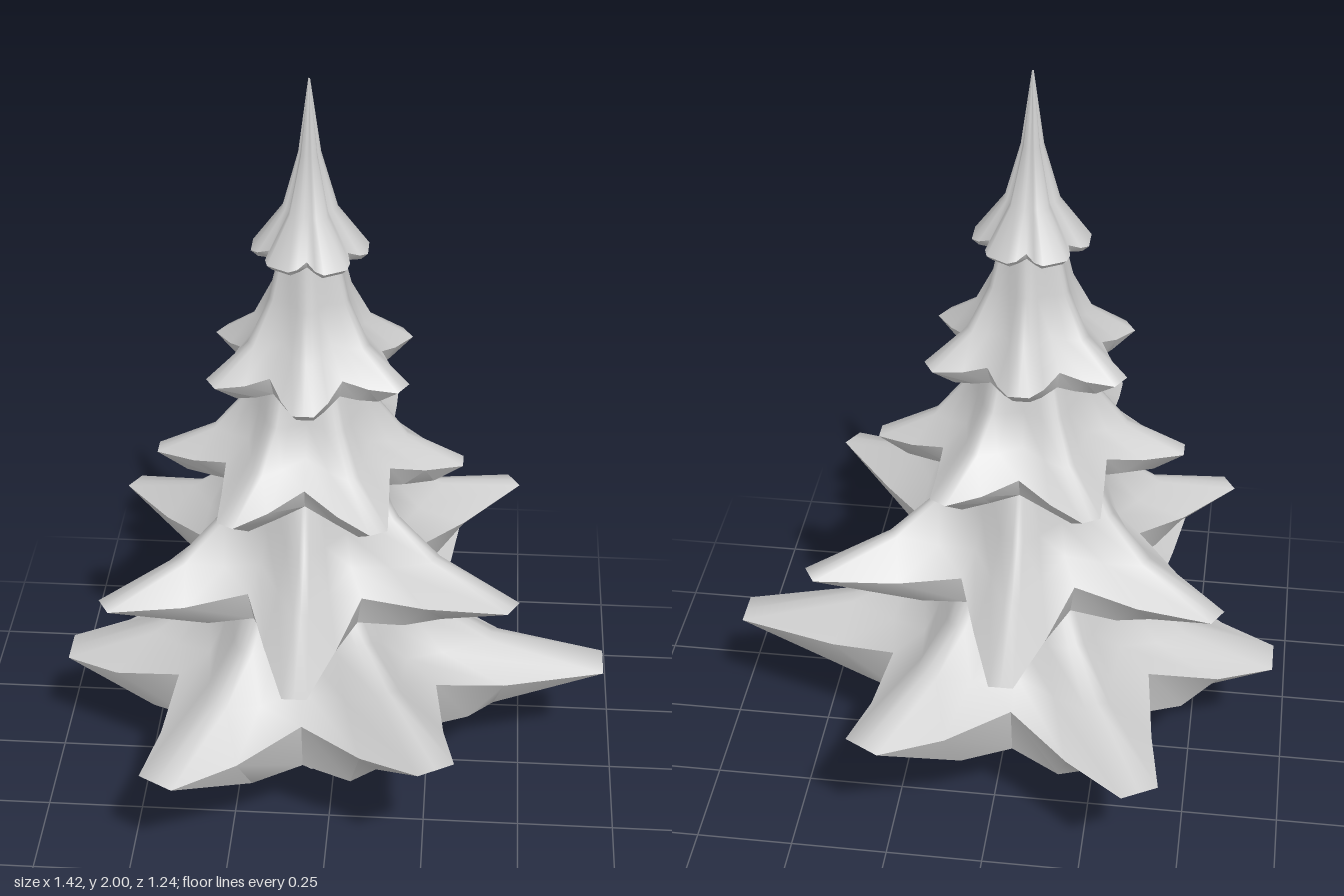
import * as THREE from 'three';
import { toCreasedNormals } from 'three/addons/utils/BufferGeometryUtils.js';

const material = new THREE.MeshStandardMaterial({ color: 0xcccccc });
const AXIS_X = -0.06;

// Each tier is a six-lobed star skirt.
// top: [radius, y]; tips: [radius, y] per lobe; tipW: half width of tip;
// kink: [radius, half width] on the lobe's side; valley: [radius, y]; drop: rim thickness;
// tuck: how far the tip's underside pulls in; floor: underside height; level: how flat its edge is
const tiers = [
  { name: 'bottomBranches', turn: 0, top: [0.22, 0.66], tipW: 0.05, kink: [0.51, 0.118], valley: [0.385, 0.41],
    drop: 0.13, tuck: 0.63, floor: 0.24, level: 0.5,
    tips: [[0.77, 0.36], [0.688, 0.465], [0.688, 0.385], [0.65, 0.34], [0.688, 0.37], [0.688, 0.44]] },
  { name: 'lowerBranches', turn: 30, top: [0.18, 0.98], tipW: 0.03, kink: [0.40, 0.09], valley: [0.285, 0.715],
    drop: 0.08, tuck: 0.68, floor: 0.605, level: 0.3,
    tips: [[0.6, 0.74], [0.585, 0.655], [0.58, 0.69], [0.58, 0.69], [0.58, 0.655], [0.6, 0.73]] },
  { name: 'middleBranches', turn: 0, top: [0.12, 1.27], tipW: 0.024, kink: [0.29, 0.07], valley: [0.235, 1.02],
    drop: 0.05, tuck: 0.81, floor: 0.93, level: 0.15,
    tips: [[0.383, 0.975], [0.373, 0.965], [0.373, 0.97], [0.388, 0.985], [0.373, 0.98], [0.373, 1.0]] },
  { name: 'upperBranches', turn: 30, top: [0.07, 1.59], tipW: 0.026, kink: [0.205, 0.056], valley: [0.175, 1.285],
    drop: 0.045, tuck: 0.78, floor: 1.21, level: 0.15,
    tips: [[0.27, 1.26], [0.248, 1.24], [0.27, 1.255], [0.27, 1.26], [0.248, 1.27], [0.27, 1.265]] },
  { name: 'treeTop', turn: 0, top: [0.002, 2.0], tipW: 0.03, kink: [0.122, 0.046], valley: [0.108, 1.58],
    drop: 0.016, tuck: 0.88, floor: 1.55, level: 0.1,
    tips: [[0.14, 1.567], [0.137, 1.56], [0.137, 1.565], [0.14, 1.567], [0.137, 1.565], [0.137, 1.565]] },
];

// Rim corners of a tier, going round from +x towards +z
function rimCorners(t) {
  const corners = [];
  t.tips.forEach(([r, y], i) => {
    const a = THREE.MathUtils.degToRad(t.turn + i * 60);
    const add = (u, v, h, tuck, ridge) => corners.push({
      x: u * Math.cos(a) - v * Math.sin(a), z: u * Math.sin(a) + v * Math.cos(a), y: h, tuck, ridge });
    const kinkY = (y + t.valley[1]) / 2 - t.drop * 0.2;
    add(t.kink[0], -t.kink[1], kinkY, 0.82, 0);
    add(r, -t.tipW, y, t.tuck, 0.05);
    add(r, 0, y, t.tuck, 0.1);
    add(r, t.tipW, y, t.tuck, 0.05);
    add(t.kink[0], t.kink[1], kinkY, 0.82, 0);
    add(t.valley[0] * Math.cos(Math.PI / 6), t.valley[0] * Math.sin(Math.PI / 6), t.valley[1], 0.92, -0.1);
  });
  return corners;
}

// Skin a stack of equal-length rings, top to bottom, with smooth normals
function skin(rings) {
  const n = rings[0].length, index = [];
  for (let k = 0; k < rings.length - 1; k++) {
    for (let j = 0; j < n; j++) {
      const a = k * n + j, b = k * n + (j + 1) % n;
      index.push(a, b, a + n, b, b + n, a + n);
    }
  }
  const g = new THREE.BufferGeometry();
  g.setAttribute('position', new THREE.Float32BufferAttribute(rings.flat(2), 3));
  g.setIndex(index);
  g.computeVertexNormals();
  return g;
}

// Concave upper side of a tier, from its neck out to the rim
function upperSide(t, corners) {
  const [topR, topY] = t.top;
  // [share of the way out, share of the way down]
  const sweep = [[0, 0], [0.18, 0.43], [0.46, 0.76], [1, 1]];
  return skin(sweep.map(([out, down]) => corners.map(({ x, y, z, ridge }) => {
    const len = Math.hypot(x, z), px = x / len * topR, pz = z / len * topR;
    const lift = ridge * t.drop * 4 * out * (1 - out);
    return [px + (x - px) * out, topY + (y - topY) * down + lift, pz + (z - pz) * out];
  })));
}

// Rim that tucks in below the lobes, closed by a shallow hollow
function underside(t, corners) {
  const rim = corners.map(c => [c.x, c.y, c.z]);
  const edge = corners.map(c =>
    [c.x * c.tuck, THREE.MathUtils.lerp(c.y - t.drop, t.floor, t.level), c.z * c.tuck]);
  const centre = corners.map(c => {
    const k = 0.02 / Math.hypot(c.x, c.z);
    return [c.x * k, t.floor + t.drop * 0.9, c.z * k];
  });
  return toCreasedNormals(skin([rim, edge, centre]), 0.9);
}

// Six-sided trunk with a flared foot
function trunkGeometry() {
  const profile = [[0, 0], [0.06, 0], [0.046, 0.06], [0.036, 0.26], [0.034, 0.42]];
  const g = new THREE.LatheGeometry(profile.map(p => new THREE.Vector2(...p)), 6);
  return toCreasedNormals(g, 0.5);
}

export function createModel() {
  const tree = new THREE.Group();
  tree.name = 'firTree';
  const add = (name, geometry) => {
    const mesh = new THREE.Mesh(geometry, material);
    mesh.name = name;
    mesh.position.set(AXIS_X, 0, 0.005);
    tree.add(mesh);
  };
  add('trunk', trunkGeometry());
  tiers.forEach(t => {
    const corners = rimCorners(t);
    add(t.name, upperSide(t, corners));
    add(t.name + 'Underside', underside(t, corners));
  });
  return tree;
}
